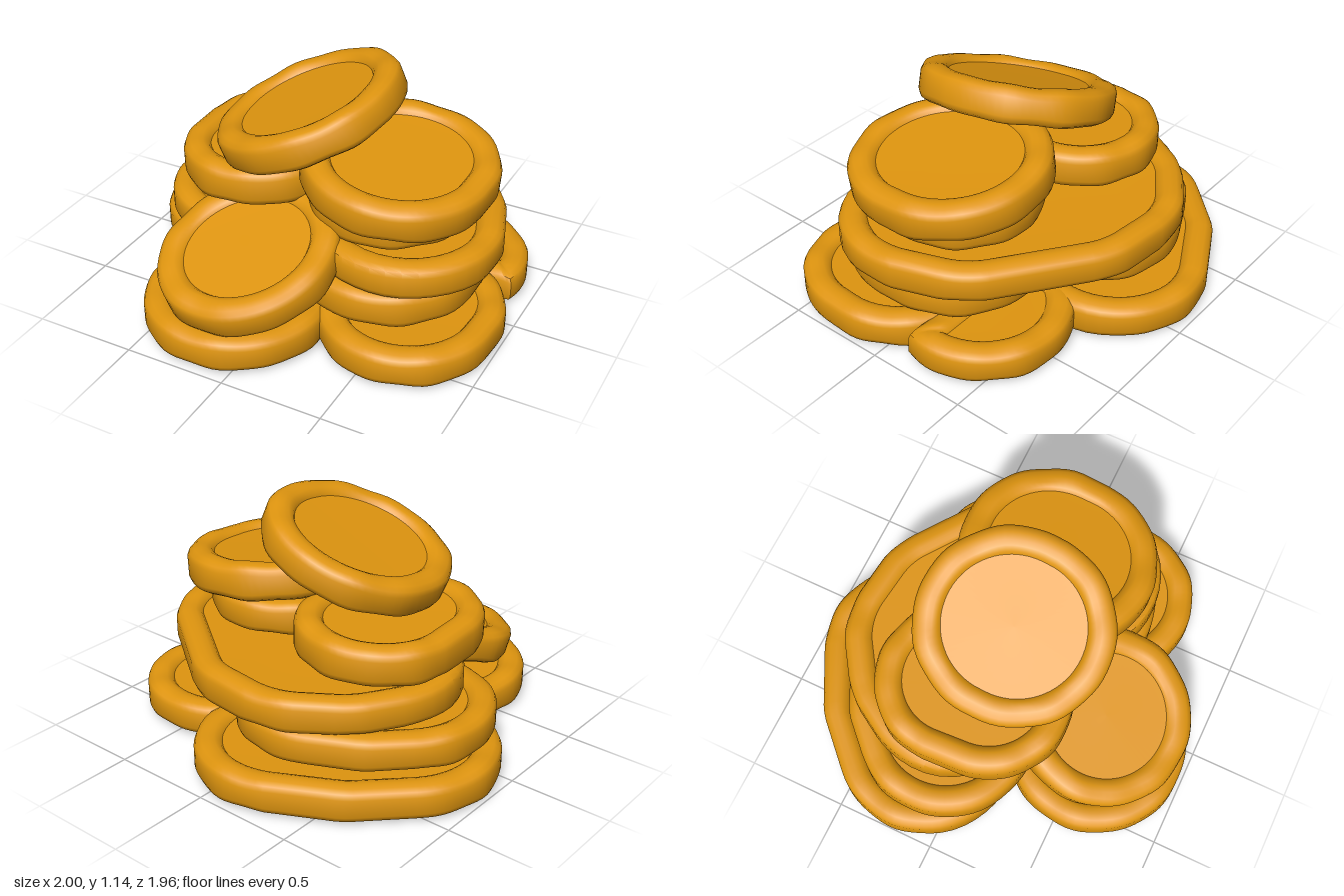
import * as THREE from 'three';
import { toCreasedNormals } from 'three/addons/utils/BufferGeometryUtils.js';

const SEGMENTS = 72;
const deg = Math.PI / 180;

// Half of the coin section: [distance in from the outer edge, height as a share of half thickness]
const RIM = [[0.132, 0.66], [0.12, 0.86], [0.095, 0.98], [0.068, 1], [0.035, 0.94], [0.01, 0.78], [0, 0.5]];

// Outline point wrapped around the outside of all centres
function wrapPoint(centres, r, dx, dz) {
  let best = centres[0];
  for (const c of centres) if (c[0] * dx + c[1] * dz > best[0] * dx + best[1] * dz) best = c;
  return [best[0] + r * dx, best[1] + r * dz];
}

// Outline point on the two overlapping end circles, which leaves a waist between them
function waistPoint([a, b], r, dx, dz) {
  const mx = (a[0] + b[0]) / 2;
  const mz = (a[1] + b[1]) / 2;
  const reach = [a, b].map(([x, z]) => {
    const along = (x - mx) * dx + (z - mz) * dz;
    return along + Math.sqrt(Math.max(0, along ** 2 - (x - mx) ** 2 - (z - mz) ** 2 + r * r));
  });
  const t = Math.max(...reach);
  return [mx + t * dx, mz + t * dz];
}

// centres: middles of the merged coins, the two ends first
// waist: pinch the inner side; cut: flat front end at this z
function coinGeometry(radius, thickness, seed, { centres = [[0, 0]], waist = false, cut = Infinity }) {
  const h = thickness / 2;
  const half = RIM.map(([inset, y]) => [radius - inset, y * h]);
  const floor = 0.62 * h;
  const rings = [[0, floor], ...half, ...half.map(([r, y]) => [r, -y]).reverse(), [0, -floor]];
  const mx = centres.reduce((s, c) => s + c[0], 0) / centres.length;
  const mz = centres.reduce((s, c) => s + c[1], 0) / centres.length;
  const positions = [];
  const indices = [];
  rings.forEach(([r, y], i) => {
    for (let j = 0; j < SEGMENTS; j++) {
      const a = (j / SEGMENTS) * Math.PI * 2;
      const dx = Math.cos(a);
      const dz = Math.sin(a);
      // Slight hand-hammered unevenness on the rim
      const wave = r > radius - 0.11 ? Math.sin(a * 7 + seed) + Math.sin(a * 11 + seed * 2.3) : 0;
      const rr = r + 0.0015 * wave;
      let point = [mx, mz];
      if (r > 0) {
        const inner = waist && dx * (centres[0][1] - centres[1][1]) + dz * (centres[1][0] - centres[0][0]) > 0;
        point = inner ? waistPoint(centres, rr, dx, dz) : wrapPoint(centres, rr, dx, dz);
      }
      positions.push(point[0], y + 0.002 * wave * Math.sign(y), Math.min(point[1], cut - (radius - r)));
      if (i < rings.length - 1) {
        const p = i * SEGMENTS + j;
        const q = i * SEGMENTS + ((j + 1) % SEGMENTS);
        indices.push(p, q, p + SEGMENTS, q, q + SEGMENTS, p + SEGMENTS);
      }
    }
  });
  const geometry = new THREE.BufferGeometry();
  geometry.setAttribute('position', new THREE.Float32BufferAttribute(positions, 3));
  geometry.setIndex(indices);
  return toCreasedNormals(geometry, 40 * deg);
}

// name, middle [x, y, z], radius, thickness, tilt about x, tilt about z, outline options
const COINS = [
  // Bottom layer
  ['bottomFrontCoin', [-0.185, 0.1, 0.535], 0.447, 0.17],
  ['bottomRightCoin', [0.575, 0.1, 0.24], 0.42, 0.17, 0, 0, { centres: [[0, 0.045], [0.005, -0.04]] }],
  ['bottomBackRightCoin', [0.52, 0.1, -0.25], 0.42, 0.165, 0, 0, { cut: 0.11 }],
  ['bottomBackMergedCoins', [-0.34, 0.1, -0.36], 0.45, 0.17, 0, 0,
    { centres: [[-0.21, 0.13], [0.21, -0.17], [-0.04, -0.04]], waist: true }],
  // Second layer
  ['secondRightCoin', [0.4, 0.27, 0.06], 0.43, 0.18, 0, 0, { centres: [[0, 0.06], [0, -0.05]] }],
  ['secondBackMergedCoins', [-0.34, 0.27, -0.23], 0.44, 0.17, 0, 0,
    { centres: [[-0.13, 0.08], [0.14, -0.1], [-0.03, -0.02]], waist: true }],
  // Third layer
  ['thirdMergedCoins', [0, 0.43, -0.13], 0.45, 0.17, 0, 0,
    { centres: [[-0.3, -0.06], [0.47, 0.21], [-0.24, -0.16], [-0.12, -0.24], [0.05, -0.22], [0.41, 0.04]], waist: true }],
  // Fourth layer
  ['fourthRightCoin', [0.35, 0.58, 0.02], 0.39, 0.17],
  ['fourthLeftCoin', [-0.335, 0.62, -0.06], 0.395, 0.19, 0, 2, { centres: [[0, -0.08], [0.01, 0.08]] }],
  // Leaning coins
  ['upperRightCoin', [0.403, 0.735, 0.03], 0.45, 0.18, 3, -6, { centres: [[0, -0.03], [0, 0.03]] }],
  ['topCoin', [-0.067, 0.918, 0.025], 0.452, 0.172, 7, 20.5, { centres: [[0, -0.015], [0, 0.015]] }],
  ['frontLeaningCoin', [-0.12, 0.38, 0.527], 0.437, 0.168, 18, 7],
];

export function createModel() {
  const group = new THREE.Group();
  group.name = 'coinPile';
  const gold = new THREE.MeshStandardMaterial({ color: 0xdf950f });
  gold.name = 'gold';
  COINS.forEach(([name, at, radius, thickness, tiltX = 0, tiltZ = 0, outline = {}], i) => {
    const coin = new THREE.Mesh(coinGeometry(radius, thickness, i * 1.7, outline), gold);
    coin.name = name;
    coin.position.set(...at);
    coin.rotation.set(tiltX * deg, 0, tiltZ * deg);
    group.add(coin);
  });
  return group;
}
